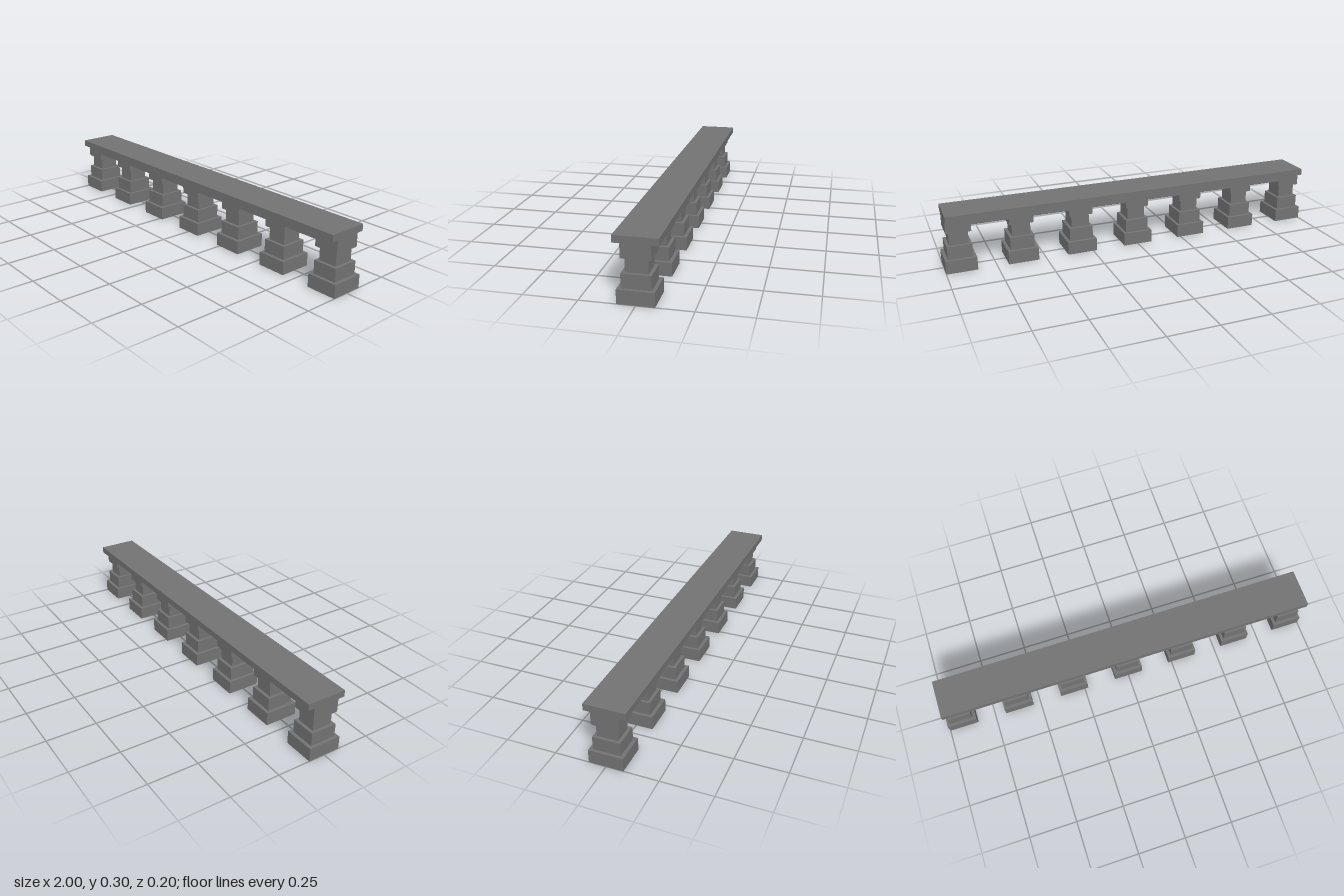
import * as THREE from 'three';

export function createModel() {
  const group = new THREE.Group();
  group.name = 'balustrade';
  const material = new THREE.MeshStandardMaterial({ color: 0x727272, flatShading: true, side: THREE.DoubleSide });
  const spacing = 0.3077, capHalf = 0.0615, depth = 0.1333;

  const add = (name, geometry, x, y, z) => {
    const mesh = new THREE.Mesh(geometry, material);
    mesh.name = name;
    mesh.position.set(x, y, z);
    group.add(mesh);
  };

  // Top slab
  add('topSlab', new THREE.BoxGeometry(1.9692, 0.0333, 0.2), 0, 0.2833, 0);

  // Beam with a post cap hanging down at each post, cut as one outline
  const end = 3 * spacing + capHalf;
  const outline = new THREE.Shape().moveTo(end, 0.2667).lineTo(-end, 0.2667);
  for (let i = -3; i <= 3; i++) {
    const x = i * spacing;
    if (i > -3) outline.lineTo(x - capHalf, 0.2333);
    outline.lineTo(x - capHalf, 0.2).lineTo(x + capHalf, 0.2);
    if (i < 3) outline.lineTo(x + capHalf, 0.2333);
  }
  const beamGeometry = new THREE.ExtrudeGeometry(outline, { depth, bevelEnabled: false });
  add('beamWithCaps', beamGeometry, 0, 0, -depth / 2);

  // Stepped hollow post, open underneath: [half width, height]
  const profile = [
    [0.077, 0], [0.077, 0.0667],
    [0.0615, 0.0667], [0.0615, 0.1333],
    [0.047, 0.1333], [0.047, 0.2],
  ].map(([half, y]) => new THREE.Vector2(half * Math.SQRT2, y));

  // Four-sided lathe, slightly deeper than wide
  const postGeometry = new THREE.LatheGeometry(profile, 4, Math.PI / 4)
    .scale(1, 1, 1.083)
    .toNonIndexed();
  postGeometry.computeVertexNormals();

  // Seven evenly spaced posts
  for (let i = -3; i <= 3; i++) add(`post${i + 4}`, postGeometry, i * spacing, 0, 0);

  return group;
}
